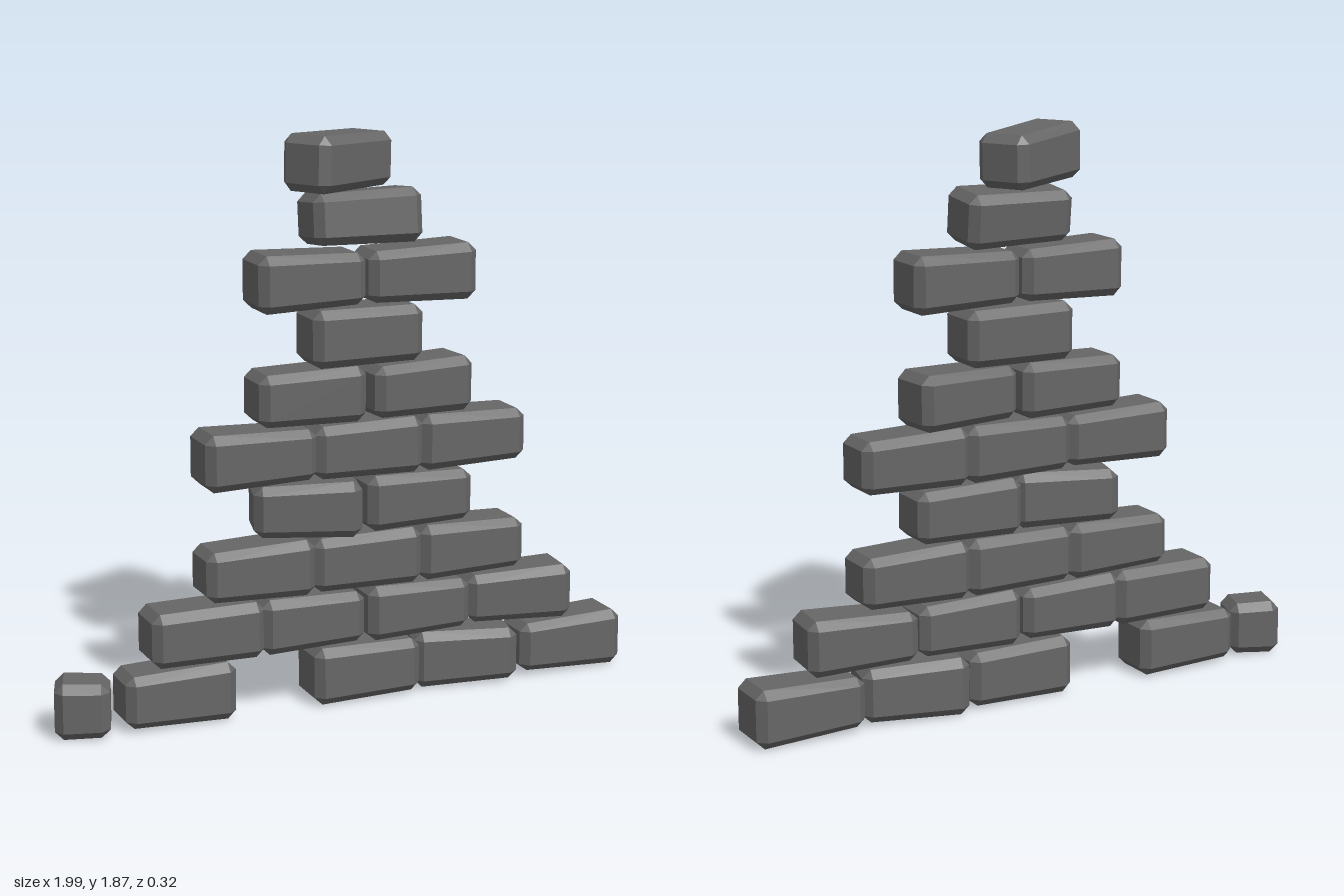
import * as THREE from 'three';
import { ConvexGeometry } from 'three/addons/geometries/ConvexGeometry.js';

// Chamfered brick; taper > 0 narrows the +x end, taper < 0 narrows the -x end
function brickGeometry(w, h, d, taper, c = 0.028) {
  const points = [];
  for (const sx of [-1, 1]) for (const sy of [-1, 1]) for (const sz of [-1, 1]) {
    for (let axis = 0; axis < 3; axis++) {
      // each corner becomes three points, one on each neighbouring face
      const x = sx * (w / 2 - (axis === 0 ? 0 : c));
      const y = sy * (h / 2 - (axis === 1 ? 0 : c));
      const z = sz * (d / 2 - (axis === 2 ? 0 : c));
      const along = taper > 0 ? 0.5 + x / w : 0.5 - x / w;
      const k = 1 - Math.abs(taper) * along;
      points.push(new THREE.Vector3(x, y * k, z * (0.5 + k / 2)));
    }
  }
  return new ConvexGeometry(points);
}

// Courses from the ground up: bottom, top and bricks [x centre, width, taper, turn about y, tilt about x]
const courses = [
  { y0: 0.005, y1: 0.198, bricks: [
    [-0.585, 0.37, -0.12, 0, 0], [0.06, 0.375, 0.08, 0, 0],
    [0.43, 0.355, 0.1, -0.18, 0], [0.81, 0.375, -0.16, 0, 0]] },
  { y0: 0.2, y1: 0.385, bricks: [
    [-0.49, 0.38, -0.04, 0, 0], [-0.13, 0.36, 0.1, 0, 0],
    [0.245, 0.365, 0.12, 0, 0], [0.62, 0.37, -0.14, -0.09, 0]] },
  { y0: 0.385, y1: 0.572, bricks: [
    [-0.31, 0.37, -0.13, 0, 0], [0.06, 0.38, -0.06, 0, 0], [0.435, 0.375, 0.12, 0, 0]] },
  { y0: 0.572, y1: 0.757, bricks: [
    [-0.13, 0.35, -0.1, -0.25, 0], [0.245, 0.37, 0.1, 0, 0]] },
  { y0: 0.757, y1: 0.943, bricks: [
    [-0.305, 0.38, 0.12, 0, 0], [0.065, 0.375, -0.08, 0, 0], [0.435, 0.375, 0.1, 0, 0]] },
  { y0: 0.943, y1: 1.125, bricks: [
    [-0.13, 0.365, -0.08, 0, 0], [0.25, 0.36, -0.08, 0.1, 0]] },
  { y0: 1.125, y1: 1.312, bricks: [[0.06, 0.38, 0.03, 0, 0]] },
  { y0: 1.312, y1: 1.498, bricks: [
    [-0.13, 0.365, 0.12, 0, 0], [0.25, 0.375, -0.12, 0, 0]] },
  { y0: 1.5, y1: 1.685, bricks: [[0.06, 0.37, -0.08, 0, -0.1]] },
];

export function createModel() {
  const model = new THREE.Group();
  model.name = 'brokenBrickWall';
  const stone = new THREE.MeshStandardMaterial({ color: 0x666666 });
  stone.name = 'dark grey stone';

  const add = (name, geometry, x, y, z, rx, ry, rz) => {
    const mesh = new THREE.Mesh(geometry, stone);
    mesh.name = name;
    mesh.position.set(x, y, z);
    mesh.rotation.set(rx, ry, rz);
    model.add(mesh);
  };

  // Wall courses
  courses.forEach(({ y0, y1, bricks }, row) => {
    bricks.forEach(([x, w, taper, turn, tilt], i) => {
      const h = tilt ? y1 - y0 - 0.01 : y1 - y0;
      add(`course${row + 1}Brick${i + 1}`, brickGeometry(w, h, 0.19, taper),
        x, (y0 + y1) / 2, -0.006, tilt, turn, 0);
    });
  });

  // Loose half brick on the ground
  add('looseHalfBrick', brickGeometry(0.175, 0.185, 0.17, 0.06), -0.892, 0.095, -0.003, 0, -0.33, 0);

  // Turned brick on top
  add('topBrick', brickGeometry(0.37, 0.18, 0.185, 0.06), -0.015, 1.775, -0.003, 0, 0.52, -0.03);

  return model;
}
